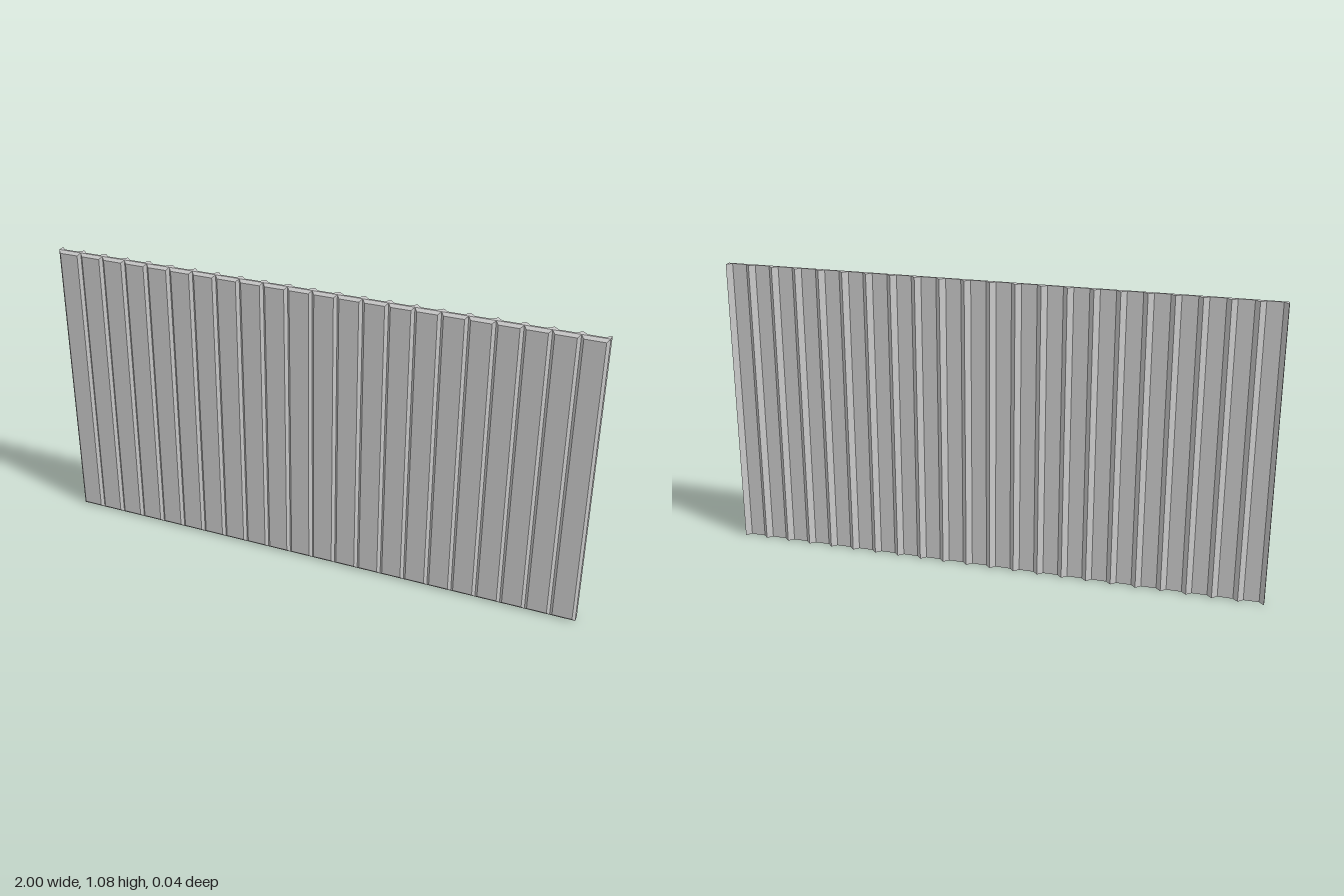
import * as THREE from 'three';

const COUNT = 22, WIDTH = 2, HEIGHT = 1.08;
const PITCH = WIDTH / COUNT;
const FRONT = 0.018, GROOVE = 0.008, RIDGE = 0.018; // depths along z
const BEVEL = FRONT - GROOVE;

const material = new THREE.MeshStandardMaterial({ color: 0xcccccc, flatShading: true });

// Backing sheet: flat strips with a pointed rib behind every joint
function backingGeometry() {
  const shape = new THREE.Shape();
  shape.moveTo(-1, -GROOVE);
  shape.lineTo(1, -GROOVE);
  for (let i = COUNT; i >= 0; i--) {
    const x = -1 + i * PITCH;
    if (i < COUNT) shape.lineTo(x + RIDGE, 0);
    shape.lineTo(x, RIDGE);
    if (i > 0) shape.lineTo(x - RIDGE, 0);
  }
  shape.closePath();
  const g = new THREE.ExtrudeGeometry(shape, { depth: HEIGHT, bevelEnabled: false });
  return g.rotateX(-Math.PI / 2);
}

// Front plank: thin slab whose front rim is chamfered on all four sides
function plankGeometry() {
  const g = new THREE.BoxGeometry(PITCH, HEIGHT, BEVEL).toNonIndexed();
  const p = g.attributes.position;
  for (let i = 0; i < p.count; i++) {
    if (p.getZ(i) > 0) {
      p.setX(i, p.getX(i) - Math.sign(p.getX(i)) * BEVEL);
      p.setY(i, p.getY(i) - Math.sign(p.getY(i)) * BEVEL);
    }
  }
  g.computeVertexNormals();
  return g;
}

export function createModel() {
  const model = new THREE.Group();
  model.name = 'ribbedWallPanel';

  const backing = new THREE.Mesh(backingGeometry(), material);
  backing.name = 'ribbedBacking';
  model.add(backing);

  const planks = new THREE.Group();
  planks.name = 'frontPlanks';
  const geometry = plankGeometry();
  for (let i = 0; i < COUNT; i++) {
    const plank = new THREE.Mesh(geometry, material);
    plank.name = `plank${i + 1}`;
    plank.position.set(-1 + (i + 0.5) * PITCH, HEIGHT / 2, GROOVE + BEVEL / 2);
    planks.add(plank);
  }
  model.add(planks);
  return model;
}
